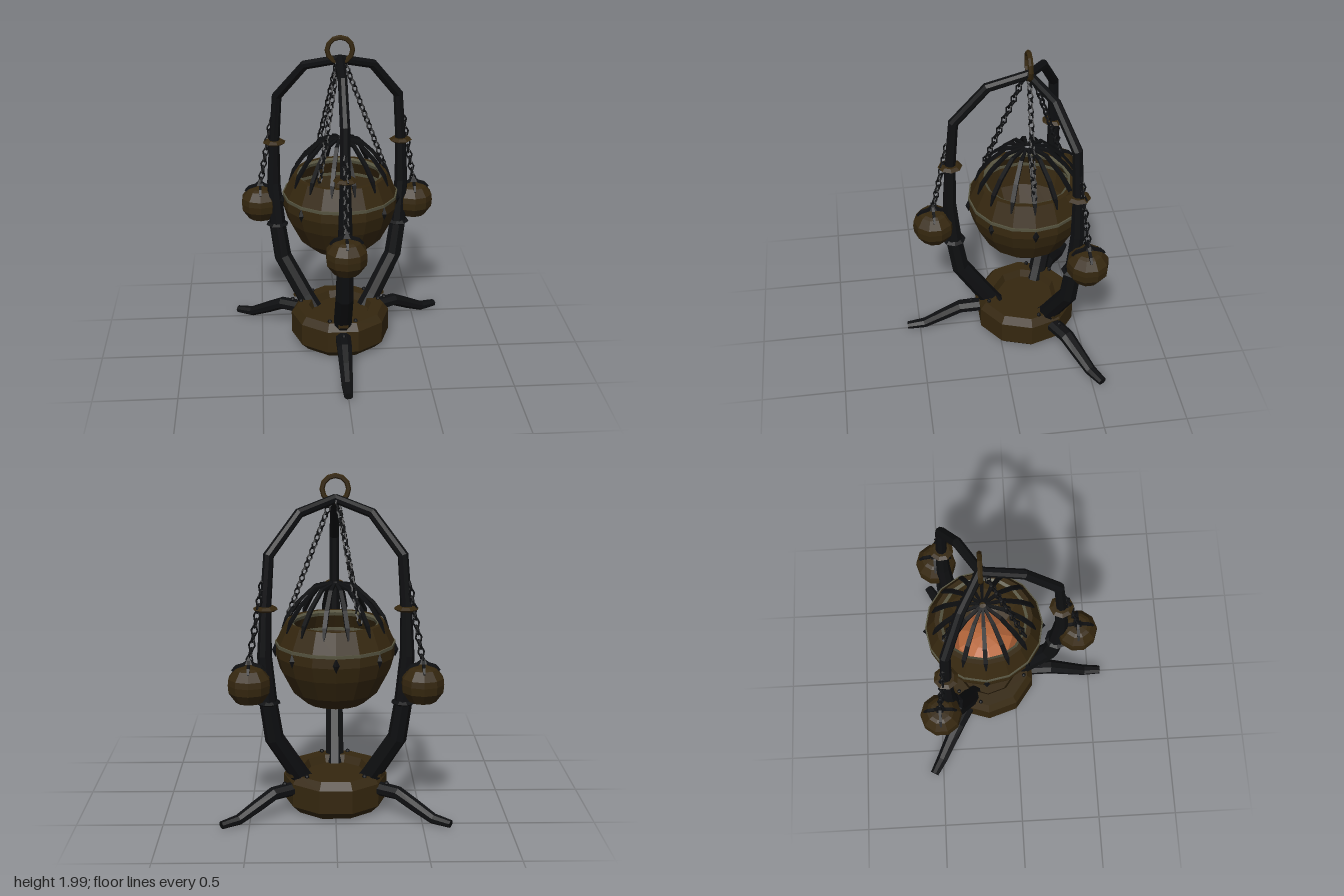
import * as THREE from 'three';

const mat = (name, color, side = THREE.FrontSide) => {
  const m = new THREE.MeshStandardMaterial({ color, side, flatShading: true });
  m.name = name;
  return m;
};

export function createModel() {
  const iron = mat('black iron', 0x0e0f11);
  const bronze = mat('dark bronze', 0x35270f);
  const trim = mat('grey trim', 0x55533f);
  const ember = mat('ember orange', 0xb8683c);

  const model = new THREE.Group();
  model.name = 'hangingBrazier';
  const body = new THREE.Group(); // centred on the brazier axis
  body.name = 'brazier';
  body.position.z = -0.18;
  model.add(body);

  const add = (parent, name, geo, material, x = 0, y = 0, z = 0) => {
    const m = new THREE.Mesh(geo, material);
    m.name = name;
    m.position.set(x, y, z);
    parent.add(m);
    return m;
  };
  const lathe = (pts, sides, start = 0) =>
    new THREE.LatheGeometry(pts.map(p => new THREE.Vector2(...p)), sides, start);

  // Tapered bar through [z, y, halfWidth, halfDepth] sections in the local yz plane
  const bar = (sections, sides) => {
    const pos = [], idx = [], n = sections.length;
    sections.forEach(([z, y, w, d = w], i) => {
      const a = sections[Math.max(0, i - 1)], b = sections[Math.min(n - 1, i + 1)];
      const len = Math.hypot(b[0] - a[0], b[1] - a[1]);
      const tz = (b[0] - a[0]) / len, ty = (b[1] - a[1]) / len;
      for (let k = 0; k < sides; k++) {
        const t = (k + 0.5) / sides * Math.PI * 2;
        const c = Math.cos(t) * w, s = Math.sin(t) * d;
        pos.push(c, y + s * tz, z - s * ty);
      }
    });
    for (let i = 0; i < n - 1; i++) for (let k = 0; k < sides; k++) {
      const p = i * sides + k, q = i * sides + (k + 1) % sides;
      idx.push(p, q, q + sides, p, q + sides, p + sides);
    }
    const last = (n - 1) * sides;
    for (let k = 1; k < sides - 1; k++) idx.push(0, k + 1, k, last, last + k, last + k + 1);
    const g = new THREE.BufferGeometry();
    g.setAttribute('position', new THREE.Float32BufferAttribute(pos, 3));
    g.setIndex(idx);
    g.computeVertexNormals();
    return g;
  };

  // Chain of alternating links between two points
  const linkGeo = new THREE.TorusGeometry(0.021, 0.0065, 4, 6);
  linkGeo.scale(0.85, 1.3, 1);
  const chain = (parent, name, from, to) => {
    const g = new THREE.Group();
    g.name = name;
    const a = new THREE.Vector3(...from), b = new THREE.Vector3(...to);
    const count = Math.round(a.distanceTo(b) / 0.043);
    const dir = b.clone().sub(a).normalize();
    const aim = new THREE.Quaternion().setFromUnitVectors(new THREE.Vector3(0, -1, 0), dir);
    const up = new THREE.Vector3(0, 1, 0);
    for (let i = 0; i <= count; i++) {
      const link = add(g, 'chainLink', linkGeo, iron);
      link.position.lerpVectors(a, b, i / count);
      link.quaternion.copy(aim).multiply(
        new THREE.Quaternion().setFromAxisAngle(up, Math.PI / 4 + i * Math.PI / 2));
    }
    parent.add(g);
  };

  // Pedestal with a recessed top
  add(body, 'base', lathe([[0, 0.01], [0.26, 0.01], [0.31, 0.06], [0.31, 0.2],
    [0.275, 0.245], [0.2, 0.245], [0.18, 0.2], [0, 0.2]], 10, Math.PI / 2), bronze);

  // Top carrying ring
  add(body, 'topRing', new THREE.TorusGeometry(0.075, 0.015, 6, 12), bronze, 0, 1.91);

  // Shared geometry of the three sides
  const armGeo = bar([[0.16, 0.12, 0.06], [0.25, 0.25, 0.058], [0.41, 0.5, 0.056], [0.445, 0.72, 0.052],
    [0.465, 1.0, 0.042], [0.455, 1.27, 0.033], [0.43, 1.57, 0.031], [0.235, 1.79, 0.029], [0, 1.855, 0.027]], 8);
  const footGeo = bar([[0.26, 0.16, 0.05, 0.04], [0.42, 0.155, 0.048, 0.038], [0.53, 0.1, 0.042, 0.036],
    [0.65, 0.042, 0.036, 0.03], [0.76, 0.032, 0.028, 0.022]], 8);
  const collarGeo = lathe([[0.03, -0.014], [0.05, -0.014], [0.072, 0], [0.05, 0.014], [0.03, 0.014]], 8);
  const lanternGeo = lathe([[0, 0.745], [0.078, 0.745], [0.12, 0.805], [0.124, 0.85], [0.12, 0.885],
    [0.082, 0.935], [0.06, 0.945], [0, 0.95]], 10);
  const strapGeo = bar([[0.095, 0.925, 0.008], [0.07, 0.95, 0.012], [0.03, 0.962, 0.012], [0, 0.985, 0.012]], 4);
  const boltGeo = new THREE.SphereGeometry(0.014, 6, 4);

  for (let i = 0; i < 3; i++) {
    const angle = i * Math.PI * 2 / 3;
    const side = new THREE.Group();
    side.name = 'supportSide';
    side.rotation.y = angle;
    body.add(side);
    add(side, 'arm', armGeo, iron);
    add(side, 'foot', footGeo, iron);
    add(side, 'upperCollar', collarGeo, bronze, 0, 1.27, 0.455);
    add(side, 'lowerCollar', collarGeo, iron, 0, 0.72, 0.445);
    for (const s of [-1, 1]) add(side, 'baseBolt', boltGeo, iron, s * 0.08, 0.25, 0.24);
    add(side, 'footBolt', boltGeo, iron, 0, 0.2, 0.345);
    add(side, 'footPlate', new THREE.BoxGeometry(0.06, 0.02, 0.06), bronze, 0, 0.25, 0.29);

    // Small hanging lantern, kept square to the model's axes
    chain(side, 'lanternChain', [0, 1.4, 0.475], [0, 0.99, 0.56]);
    const lantern = new THREE.Group();
    lantern.name = 'lantern';
    lantern.position.z = 0.565;
    lantern.rotation.y = -angle;
    side.add(lantern);
    add(lantern, 'lanternBody', lanternGeo, bronze);
    for (let k = 0; k < 4; k++) add(lantern, 'lanternStrap', strapGeo, iron).rotation.y = k * Math.PI / 2;
    const bail = add(lantern, 'lanternBail', new THREE.ConeGeometry(0.03, 0.05, 4), iron, 0, 0.99);
    bail.rotation.y = Math.PI / 4;

    // Chains carrying the fire bowl
    const t = Math.PI / 2 + angle;
    chain(body, 'bowlChain', [Math.sin(t) * 0.03, 1.83, Math.cos(t) * 0.03],
      [Math.sin(t) * 0.265, 1.2, Math.cos(t) * 0.265]);
  }

  // Fire bowl: lower shell, grey seam and open upper band
  add(body, 'lowerBowl', lathe([[0, 0.66], [0.175, 0.66], [0.26, 0.735], [0.325, 0.86], [0.35, 0.95],
    [0.345, 1.01], [0.325, 1.01], [0.3, 0.87], [0.24, 0.76], [0.16, 0.69], [0, 0.69]], 16), bronze);
  add(body, 'bowlSeam', lathe([[0.31, 1.008], [0.353, 1.008], [0.353, 1.026], [0.31, 1.026], [0.31, 1.008]], 16), trim);
  add(body, 'upperBand', lathe([[0.345, 1.026], [0.29, 1.145], [0.262, 1.145], [0.315, 1.026]], 16), bronze);
  add(body, 'bandLip', lathe([[0.262, 1.145], [0.245, 1.135], [0.25, 1.115], [0.272, 1.12]], 16), trim);
  add(body, 'embers', lathe([[0.2, 0.725], [0.17, 0.8], [0.09, 0.85], [0, 0.865]], 9), ember);

  // Cage bars closing over the opening
  const cageGeo = bar([[0.31, 1.1, 0.005], [0.285, 1.165, 0.018, 0.011], [0.225, 1.25, 0.018, 0.011],
    [0.125, 1.345, 0.016, 0.011], [0.02, 1.365, 0.01]], 4);
  for (let i = 0; i < 14; i++)
    add(body, 'cageBar', cageGeo, iron).rotation.y = (i + 0.5) / 14 * Math.PI * 2;

  // Diamond studs around the seam
  const studGeo = new THREE.OctahedronGeometry(1);
  studGeo.scale(0.02, 0.045, 0.02);
  for (let i = 0; i < 8; i++) {
    const t = i * Math.PI / 4;
    add(body, 'bowlStud', studGeo, iron, Math.sin(t) * 0.35, 0.97, Math.cos(t) * 0.35).rotation.y = t;
  }
  return model;
}
